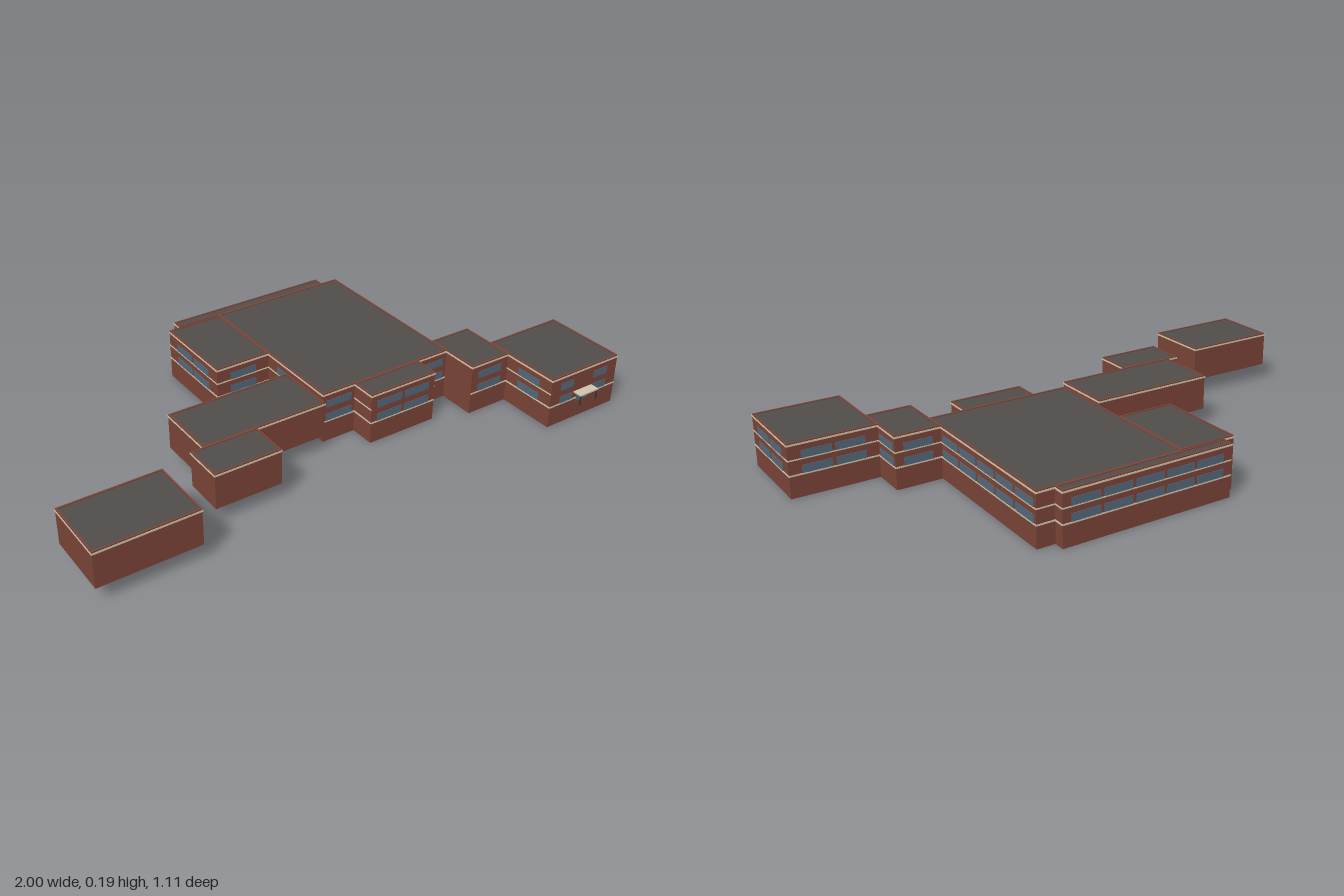
import * as THREE from 'three';

const mat = (name, color) => Object.assign(new THREE.MeshStandardMaterial({ color }), { name });
const brick = mat('brick', 0x7a4437);
const roofing = mat('roofing', 0x504d4b);
const cream = mat('cream trim', 0xcfc4aa);
const glass = mat('window glass', 0x55687a);
const metal = mat('dark metal', 0x2e2c2c);

const TOP = 0.19, WALL = 0.006;

function box(parent, name, material, x0, x1, y0, y1, z0, z1) {
  const mesh = new THREE.Mesh(new THREE.BoxGeometry(x1 - x0, y1 - y0, z1 - z0), material);
  mesh.position.set((x0 + x1) / 2, (y0 + y1) / 2, (z0 + z1) / 2);
  mesh.name = name;
  parent.add(mesh);
}

// Hollow rectangular ring, open at top and bottom
function ring(parent, name, material, [x0, x1, z0, z1], y0, y1, out, inset) {
  const corners = (d) => [
    new THREE.Vector2(x0 - d, -z1 - d), new THREE.Vector2(x1 + d, -z1 - d),
    new THREE.Vector2(x1 + d, -z0 + d), new THREE.Vector2(x0 - d, -z0 + d)];
  const shape = new THREE.Shape(corners(out));
  shape.holes.push(new THREE.Path(corners(-inset).reverse()));
  const geo = new THREE.ExtrudeGeometry(shape, { depth: y1 - y0, bevelEnabled: false });
  geo.rotateX(-Math.PI / 2).translate(0, y0, 0);
  const mesh = new THREE.Mesh(geo, material);
  mesh.name = name;
  parent.add(mesh);
}

// Thin plate on a wall; side is 'x' or 'z', dir is the outward sign
function plate(parent, name, material, side, dir, at, a, b, y0, y1, t) {
  const p = Math.min(at, at + dir * t), q = Math.max(at, at + dir * t);
  if (side === 'x') box(parent, name, material, p, q, y0, y1, a, b);
  else box(parent, name, material, a, b, y0, y1, p, q);
}

// Two rows of evenly spaced windows with trim bands
function facade(parent, side, dir, at, a, b, { windows = null, middle = true } = {}) {
  const n = Math.floor((b - a - 0.003) / 0.116), mid = (a + b) / 2;
  const spans = windows ?? Array.from({ length: n }, (_, i) => {
    const c = mid + (i - (n - 1) / 2) * 0.116;
    return [c - 0.052, c + 0.052];
  });
  for (const [p, q] of spans) {
    for (const y of [0.081, 0.132]) plate(parent, 'window', glass, side, dir, at, p, q, y, y + 0.028, 0.0015);
  }
  plate(parent, 'lowerBand', cream, side, dir, at, a, b, 0.076, 0.081, 0.002);
  if (middle) plate(parent, 'middleBand', cream, side, dir, at, a, b, 0.129, 0.133, 0.002);
}

export function createModel() {
  const model = new THREE.Group();
  model.name = 'buildingComplex';

  // Flat-roofed blocks: name, [x0, x1, z0, z1], base height
  const blocks = [
    ['mainHall', [-0.005, 0.525, -0.515, 0.16], 0],
    ['backStrip', [-0.17, 0.46, -0.555, -0.515], 0],
    ['rightWing', [-0.215, -0.005, -0.51, -0.175], 0],
    ['frontBay', [0.125, 0.395, 0.16, 0.255], 0],
    ['connector', [0.525, 0.69, 0.08, 0.3], 0],
    ['entranceBlock', [0.69, 1, 0.205, 0.52], 0],
    ['annex', [-0.49, -0.03, -0.02, 0.205], 0.06],
    ['smallAnnex', [-0.535, -0.295, 0.205, 0.35], 0.06],
    ['detachedBlock', [-1, -0.65, 0.235, 0.475], 0.06],
  ];
  for (const [name, r, base] of blocks) {
    const g = new THREE.Group();
    g.name = name;
    ring(g, 'walls', brick, r, base, TOP, 0, WALL);
    ring(g, 'roofTrim', cream, r, 0.18, 0.186, 0.002, -0.0005);
    box(g, 'roof', roofing, r[0] + WALL, r[1] - WALL, 0.181, 0.187, r[2] + WALL, r[3] - WALL);
    model.add(g);
  }

  const walls = new THREE.Group();
  walls.name = 'facades';
  model.add(walls);
  const front = { middle: false };
  // Front walls
  facade(walls, 'z', 1, 0.16, -0.005, 0.125, front);
  facade(walls, 'z', 1, 0.255, 0.125, 0.395, front);
  facade(walls, 'z', 1, 0.16, 0.395, 0.525, front);
  facade(walls, 'z', 1, 0.3, 0.525, 0.69, front);
  facade(walls, 'z', 1, 0.52, 0.69, 1, { middle: false, windows: [[0.735, 0.794], [0.89, 0.955]] });
  facade(walls, 'z', 1, -0.175, -0.215, -0.005);
  // Left walls
  facade(walls, 'x', 1, 1, 0.205, 0.52);
  facade(walls, 'x', 1, 0.69, 0.08, 0.205);
  facade(walls, 'x', 1, 0.525, -0.515, 0.08);
  facade(walls, 'x', 1, 0.46, -0.555, -0.515);
  facade(walls, 'x', 1, 0.395, 0.16, 0.255);
  // Back walls
  facade(walls, 'z', -1, -0.555, -0.17, 0.46);
  facade(walls, 'z', -1, -0.515, 0.46, 0.525);
  facade(walls, 'z', -1, 0.08, 0.525, 0.69);
  facade(walls, 'z', -1, 0.205, 0.69, 1);
  // Right walls
  facade(walls, 'x', -1, -0.215, -0.51, -0.175);
  facade(walls, 'x', -1, -0.17, -0.555, -0.51);
  facade(walls, 'x', -1, -0.005, -0.175, 0.16);
  facade(walls, 'x', -1, 0.125, 0.16, 0.255);
  facade(walls, 'x', -1, 0.69, 0.3, 0.52);

  // Entrance canopy with two posts and a glazed door
  const entrance = new THREE.Group();
  entrance.name = 'entrance';
  box(entrance, 'canopy', cream, 0.8, 0.885, 0.103, 0.108, 0.52, 0.555);
  for (const x of [0.803, 0.879]) box(entrance, 'post', metal, x, x + 0.003, 0.065, 0.103, 0.55, 0.553);
  box(entrance, 'door', glass, 0.815, 0.87, 0.065, 0.1, 0.52, 0.5225);
  model.add(entrance);

  return model;
}
